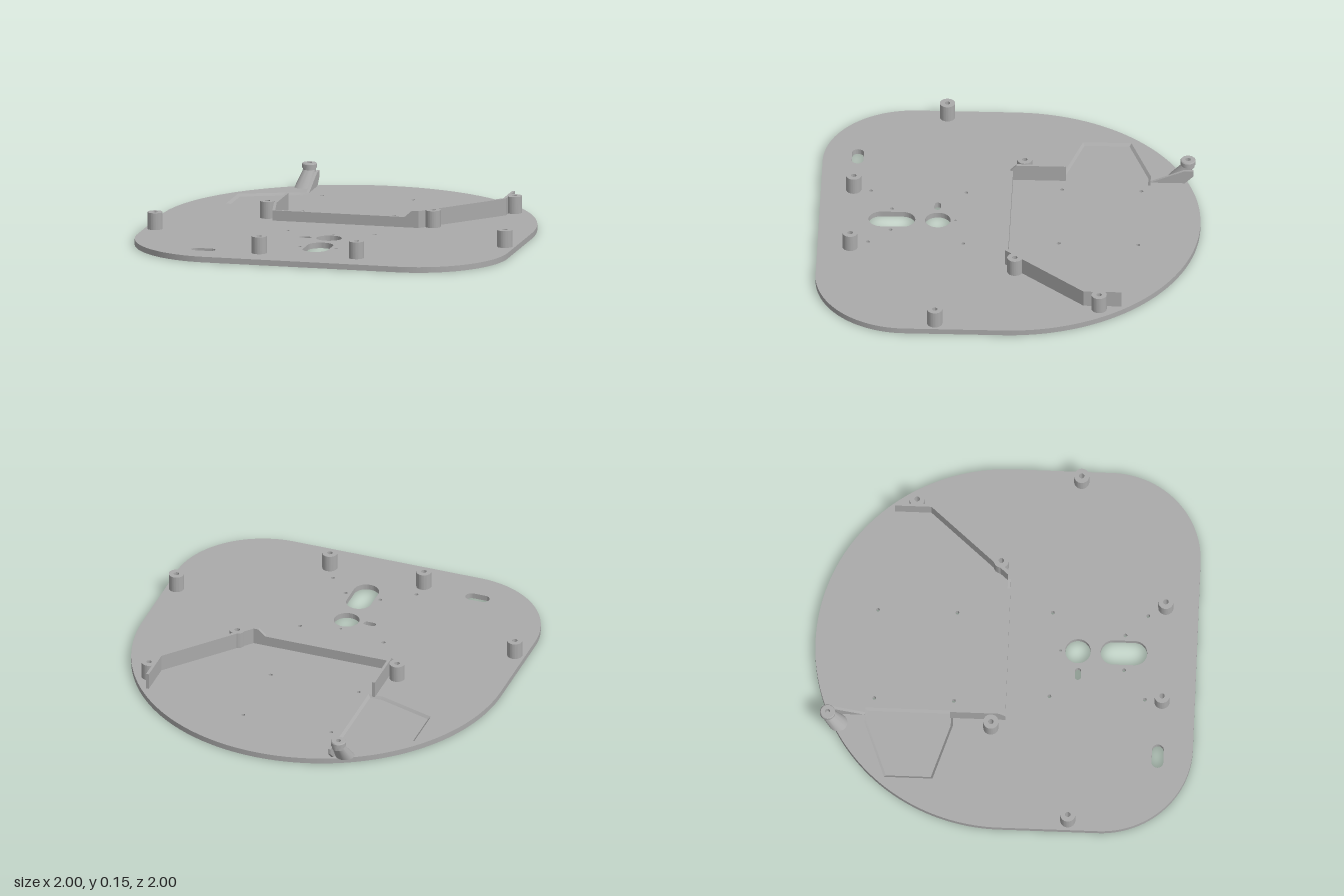
import * as THREE from 'three';
import { toCreasedNormals } from 'three/addons/utils/BufferGeometryUtils.js';

const BASE = 0.03, FLOOR = 0.017, TOP = 0.12, LOW = 0.085, T = 0.015;

export function createModel() {
  const model = new THREE.Group();
  const grey = new THREE.MeshStandardMaterial({ color: 0xaaaaaa });
  grey.name = 'plastic grey';

  function add(name, geometry) {
    const mesh = new THREE.Mesh(toCreasedNormals(geometry, 0.6), grey);
    mesh.name = name;
    model.add(mesh);
    return mesh;
  }
  // Footprints are given as x, z and extruded upwards from y0 to y1
  const polygon = (pts) => pts.map(([x, z]) => new THREE.Vector2(x, -z));
  function raise(shape, y0, y1, segments = 24) {
    const g = new THREE.ExtrudeGeometry(shape, { depth: y1 - y0, bevelEnabled: false, curveSegments: segments });
    return g.rotateX(-Math.PI / 2).translate(0, y0, 0);
  }
  const circle = (x, z, r) => new THREE.Path().absarc(x, -z, r, 0, Math.PI * 2, true);
  // Rounded slot of full width w (x) and length l (z)
  function slot(x, z, w, l) {
    const r = Math.min(w, l) / 2, dx = w / 2 - r, dz = l / 2 - r, p = new THREE.Path();
    const h = Math.PI / 2;
    p.absarc(x + dx, -z + dz, r, 0, h, false);
    p.absarc(x - dx, -z + dz, r, h, 2 * h, false);
    p.absarc(x - dx, -z - dz, r, 2 * h, 3 * h, false);
    p.absarc(x + dx, -z - dz, r, 3 * h, 4 * h, false);
    p.closePath();
    return p;
  }

  const posts = [[-0.945, 0.36], [0.945, 0.36], [-0.265, 0.828], [0.26, 0.828],
    [0.457, -0.043], [-0.443, -0.063], [0.783, -0.497]];
  const screwHoles = [[-0.302, -0.68], [0.19, -0.68], [-0.302, -0.263], [0.19, -0.263],
    [-0.257, 0.237], [0.21, 0.237], [-0.257, 0.737], [0.21, 0.737], [-0.097, 0.622], [0.097, 0.622]];
  const recessOuter = [[-0.357, -0.725], [-0.44, -0.725], [-0.74, -0.612], [-0.74, -0.358], [-0.44, -0.262], [-0.357, -0.262]];
  const recessInner = [[-0.37, -0.712], [-0.437, -0.712], [-0.727, -0.603], [-0.727, -0.367], [-0.437, -0.274], [-0.37, -0.274]];

  // Base plate outline: half round at the back, rounded corners in front
  function plate() {
    const s = new THREE.Shape(), r = 0.48;
    s.absarc(1 - r, r - 1, r, -Math.PI / 2, 0, false);
    s.absarc(0, 0, 1, 0, Math.PI, false);
    s.absarc(r - 1, r - 1, r, Math.PI, Math.PI * 1.5, false);
    s.closePath();
    for (const [x, z] of posts) s.holes.push(circle(x, z, 0.014));
    for (const [x, z] of screwHoles) s.holes.push(circle(x, z, 0.01));
    s.holes.push(circle(0, 0.285, 0.007), circle(0, 0.377, 0.067),
      slot(0, 0.618, 0.135, 0.245), slot(-0.127, 0.382, 0.066, 0.032), slot(-0.569, 0.817, 0.13, 0.062));
    return s;
  }
  add('basePlateLower', raise(plate(), 0, FLOOR, 48));
  const upper = plate();
  upper.holes.push(new THREE.Path(polygon(recessOuter)));
  add('basePlateUpper', raise(upper, FLOOR, BASE, 48));

  // Sloping sides of the shallow recess
  const v = [];
  recessOuter.forEach(([x, z], i) => {
    const j = (i + 1) % recessOuter.length;
    const a = [x, BASE, z], b = [recessOuter[j][0], BASE, recessOuter[j][1]];
    const c = [recessInner[j][0], FLOOR, recessInner[j][1]], d = [recessInner[i][0], FLOOR, recessInner[i][1]];
    v.push(...a, ...b, ...c, ...a, ...c, ...d);
  });
  const slopes = new THREE.BufferGeometry();
  slopes.setAttribute('position', new THREE.Float32BufferAttribute(v, 3));
  slopes.computeVertexNormals();
  add('recessSlopes', slopes);

  // Hollow mounting posts
  for (const [x, z] of posts) {
    const ring = new THREE.Shape().absarc(x, -z, 0.04, 0, Math.PI * 2, false);
    ring.holes.push(circle(x, z, 0.014));
    add('mountingPost', raise(ring, BASE, TOP));
  }

  // Low front wall rising to full height at its right-hand end
  const profile = (pts) => new THREE.Shape(pts.map(([a, b]) => new THREE.Vector2(a, b)));
  const frontWall = new THREE.ExtrudeGeometry(
    profile([[-0.398, BASE], [0.388, BASE], [0.388, TOP], [0.355, TOP], [0.315, LOW], [-0.398, LOW]]),
    { depth: T, bevelEnabled: false });
  add('frontWall', frontWall.translate(0, 0, -0.004));

  // Angled wall and its end piece
  add('angledWall', raise(new THREE.Shape(polygon([[0.38, 0.011], [0.392, 0.011], [0.757, -0.414],
    [0.757, -0.612], [0.742, -0.612], [0.742, -0.42], [0.38, -0.004]])), BASE, TOP));

  // Walls running front to back, profiled as -z, y
  function sideWall(name, pts) {
    const g = new THREE.ExtrudeGeometry(profile(pts), { depth: T, bevelEnabled: false });
    add(name, g.rotateY(Math.PI / 2).translate(-0.398, 0, 0));
  }
  sideWall('sideWall', [[-0.011, BASE], [0.28, BASE], [0.28, TOP], [0.022, TOP], [-0.011, LOW]]);
  sideWall('bracketRib', [[0.725, BASE], [0.905, BASE], [0.95, 0.075], [0.95, 0.105], [0.9, 0.105]]);

  // Leaning bracket arm: a cylinder sheared towards the back
  const arm = new THREE.CylinderGeometry(0.034, 0.05, 0.085, 24);
  const p = arm.attributes.position;
  for (let i = 0; i < p.count; i++) {
    const t = (p.getY(i) + 0.0425) / 0.085;
    p.setX(i, p.getX(i) - 0.446 + 0.016 * t);
    p.setZ(i, p.getZ(i) - 0.865 - 0.055 * t);
    p.setY(i, BASE + 0.085 * t);
  }
  arm.computeVertexNormals();
  add('bracketArm', arm);

  // Bracket head with a narrower neck and a socket
  const lathe = new THREE.LatheGeometry([[0.034, 0.105], [0.034, 0.125], [0.04, 0.125], [0.04, 0.145], [0.036, 0.15],
    [0.014, 0.15], [0.014, 0.115], [0, 0.115]].map(([r, y]) => new THREE.Vector2(r, y)), 24);
  add('bracketHead', lathe.translate(-0.43, 0, -0.92));

  return model;
}
